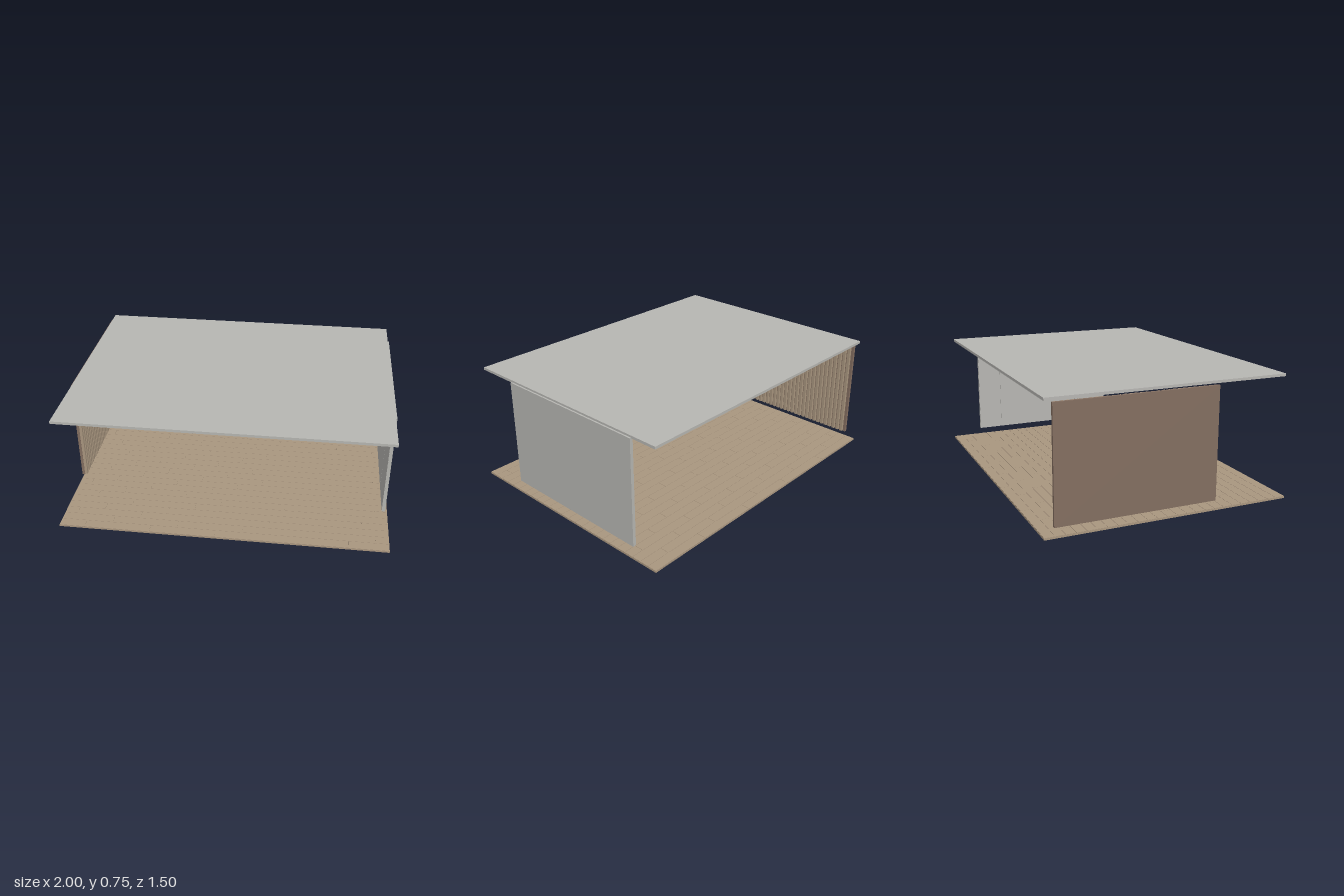
import * as THREE from 'three';

const material = (name, color) => {
  const m = new THREE.MeshStandardMaterial({ color });
  m.name = name;
  return m;
};

// Box given by its minimum and maximum along each axis
function block(name, mat, [x0, x1], [y0, y1], [z0, z1]) {
  const mesh = new THREE.Mesh(new THREE.BoxGeometry(x1 - x0, y1 - y0, z1 - z0), mat);
  mesh.position.set((x0 + x1) / 2, (y0 + y1) / 2, (z0 + z1) / 2);
  mesh.name = name;
  return mesh;
}

export function createModel() {
  const concrete = material('concrete grey', 0xb7b6b2);
  const wood = material('tan wood', 0xa9967f);
  const darkWood = material('dark brown wood', 0x836e60);
  const model = new THREE.Group();
  model.name = 'pavilion';

  // Floor: base board with staggered planks running along x
  const floor = new THREE.Group();
  floor.name = 'floor';
  floor.add(block('floorBase', wood, [-1, 1], [0, 0.011], [-0.75, 0.75]));
  const rows = 25, pitch = 1.5 / rows, length = 0.4, gap = 0.001;
  for (let r = 0; r < rows; r++) {
    const z = -0.75 + r * pitch;
    const shift = ((r * 2) % 5) * length / 5;
    for (let x = -1 - shift; x < 0.999; x += length) {
      const a = Math.max(x, -1), b = Math.min(x + length, 1);
      if (b - a < 0.01) continue;
      floor.add(block('plank', wood, [a + gap, b - gap], [0.011, 0.013], [z + gap, z + pitch - gap]));
    }
  }
  model.add(floor);

  // Flat roof slab
  model.add(block('roof', concrete, [-0.972, 0.97], [0.732, 0.748], [-0.73, 0.73]));

  // Plain side wall, with three panels on its inner face
  const wall = new THREE.Group();
  wall.name = 'plainWall';
  wall.add(block('wallSlab', concrete, [0.963, 0.98], [0.063, 0.736], [-0.56, 0.447]));
  const seams = [-0.56, -0.4, 0.2, 0.447];
  for (let i = 0; i < 3; i++) {
    wall.add(block('wallPanel', concrete, [0.959, 0.963], [0.065, 0.732], [seams[i] + 0.001, seams[i + 1] - 0.001]));
  }
  model.add(wall);

  // Slatted side wall: dark backing board with tan battens inside
  const slatWall = new THREE.Group();
  slatWall.name = 'slattedWall';
  slatWall.add(block('backing', darkWood, [-0.99, -0.973], [0.055, 0.725], [-0.69, 0.282]));
  for (let i = 0; i < 30; i++) {
    const z = -0.672 + i * 0.0322;
    slatWall.add(block('slat', wood, [-0.973, -0.956], [0.06, 0.722], [z, z + 0.018]));
  }
  model.add(slatWall);

  return model;
}
